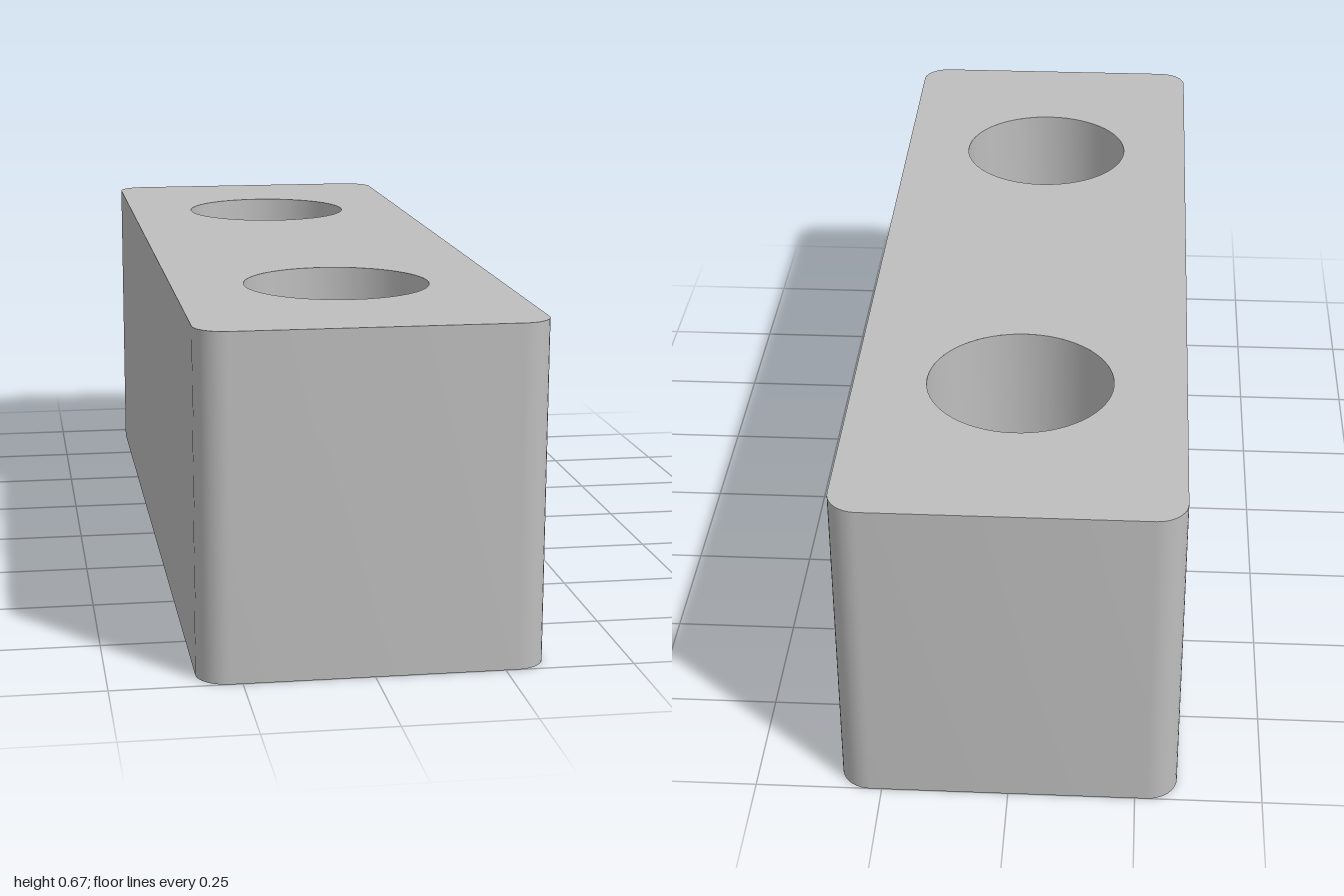
import * as THREE from 'three';
import { mergeGeometries, toCreasedNormals } from 'three/addons/utils/BufferGeometryUtils.js';

const W = 0.333, L = 1, H = 0.667, CORNER = 0.06;
const HOLE = 0.187;                    // bolt hole radius
const HEX = 0.355;                     // nut pocket circumradius
const POCKET = 0.283, STEP = 0.033;    // pocket depth and height of each small step
const SPACING = 0.533;

const V = (x, y) => new THREE.Vector2(x, y);
const ring = (r, n, start = 0) => Array.from({ length: n }, (_, i) => {
  const a = start + (i / n) * Math.PI * 2;
  return V(r * Math.cos(a), r * Math.sin(a));
});

// Upright wall along a closed outline; counter-clockwise outlines face inward
function wall(points, y0, y1) {
  const pos = [];
  points.forEach((a, i) => {
    const b = points[(i + 1) % points.length];
    pos.push(a.x, y0, a.y, b.x, y0, b.y, a.x, y1, a.y);
    pos.push(b.x, y0, b.y, b.x, y1, b.y, a.x, y1, a.y);
  });
  const g = new THREE.BufferGeometry();
  g.setAttribute('position', new THREE.Float32BufferAttribute(pos, 3));
  return toCreasedNormals(g, 0.5);
}

// Flat horizontal face with holes, facing up or down
function face(points, holes, y, up = false) {
  const s = new THREE.Shape(points);
  s.holes = holes.map((h) => new THREE.Path(h));
  const g = new THREE.ShapeGeometry(s).toNonIndexed();
  g.deleteAttribute('uv');
  return g.rotateX(up ? -Math.PI / 2 : Math.PI / 2).translate(0, y, 0);
}

// Rounded rectangle outline of the block
function blockOutline() {
  const pts = [];
  [[1, 1], [-1, 1], [-1, -1], [1, -1]].forEach(([sx, sz], q) => {
    for (let i = 0; i <= 10; i++) {
      const a = (q + i / 10) * Math.PI / 2;
      pts.push(V(sx * (W - CORNER) + CORNER * Math.cos(a), sz * (L - CORNER) + CORNER * Math.sin(a)));
    }
  });
  return pts;
}

export function createModel() {
  const model = new THREE.Group();
  model.name = 'spacerBlock';
  const grey = new THREE.MeshStandardMaterial({ color: 0xbebebe });
  grey.name = 'grey';
  const add = (name, parts) => {
    const m = new THREE.Mesh(mergeGeometries(parts), grey);
    m.name = name;
    model.add(m);
  };

  // Profiles of one nut pocket; the slot runs between two flats of the hexagon
  const w = HOLE + 0.0005, flat = HEX * Math.sqrt(3) / 2;
  const u = flat - (w - HEX / 2) * Math.sqrt(3);
  const place = (pts, z) => pts.map((p) => {
    const q = p.clone().rotateAround(V(0, 0), Math.PI / 3);
    return q.add(V(0, z));
  });
  const hex = ring(HEX, 6, Math.PI / 2);
  const circle = ring(HOLE, 64);
  const slot = [V(flat, -HEX / 2), V(flat, HEX / 2), V(u, w), V(-u, w),
    V(-flat, HEX / 2), V(-flat, -HEX / 2), V(-u, -w), V(u, -w)];
  const square = [V(w, -w), V(w, w), V(-w, w), V(-w, -w)];
  const ledge = [V(u, w), V(0, HEX), V(-u, w)];
  const slotEnd = [V(w, -w), V(u, -w), V(flat, -HEX / 2), V(flat, HEX / 2), V(u, w), V(w, w)];
  const opposite = (pts) => pts.map((p) => p.clone().negate());

  // Block shell
  const outline = blockOutline();
  const centres = [-SPACING, SPACING];
  add('blockSides', [wall([...outline].reverse(), 0, H)]);
  add('blockTop', [face(outline, centres.map((z) => place(circle, z)), H, true)]);
  add('blockBottom', [face(outline, centres.map((z) => place(hex, z)), 0)]);

  // Nut pocket, stepped roof and bolt hole at each end
  const y1 = POCKET, y2 = y1 + STEP, y3 = y2 + STEP;
  centres.forEach((z, i) => {
    const end = i ? 'front' : 'back';
    const at = (pts) => place(pts, z);
    add(end + 'NutPocket', [wall(at(hex), 0, y1),
      face(at(ledge), [], y1), face(at(opposite(ledge)), [], y1)]);
    add(end + 'PocketSteps', [wall(at(slot), y1, y2),
      face(at(slotEnd), [], y2), face(at(opposite(slotEnd)), [], y2),
      wall(at(square), y2, y3), face(at(square), [at(circle)], y3)]);
    add(end + 'BoltHole', [wall(at(circle), y3, H)]);
  });
  return model;
}
